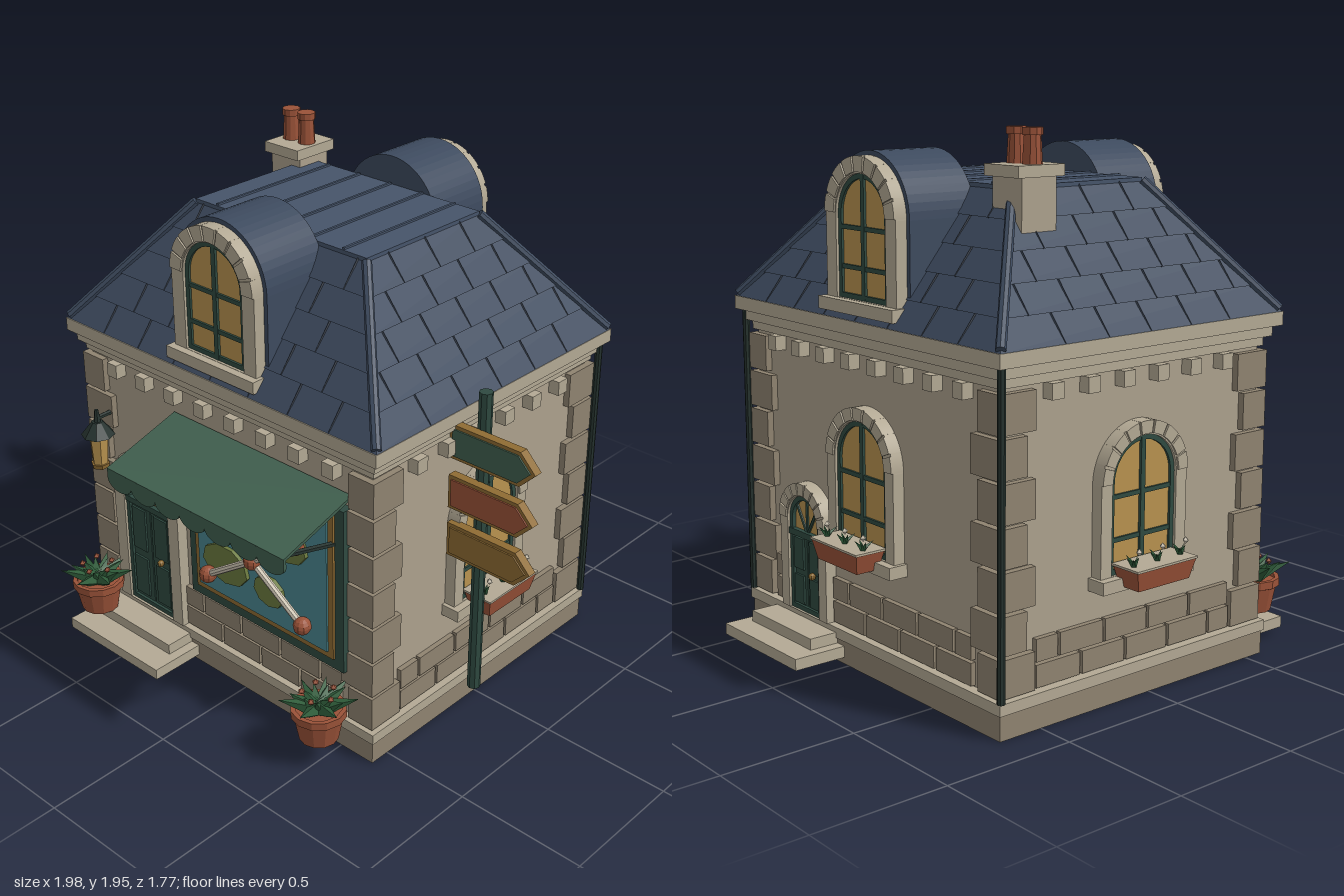
import * as THREE from 'three';

const V = (x, y, z) => new THREE.Vector3(x, y, z);
const mats = {};
const mat = c => (mats[c] ??= new THREE.MeshStandardMaterial({ color: c, flatShading: true, side: THREE.DoubleSide }));
const C = { wall: 0xaca18d, trim: 0xb3a994, stone: 0x8f8370, roof: 0x3d4a5e, roofTop: 0x46546a, seam: 0x262f3c, green: 0x2f4a41,
  awning: 0x41604f, dark: 0x26332f, glass: 0xb8924f, ochre: 0x8f6c33, teal: 0x4a8790, red: 0x9a5238, leaf: 0x2f5c3a, olive: 0x6b7a3f, white: 0xcfc6b4 };
const HX = 0.72, HZ = 0.595; // wall half sizes

function add(parent, name, geo, color, x = 0, y = 0, z = 0) {
  const m = new THREE.Mesh(geo, mat(color));
  m.name = name;
  m.position.set(x, y, z);
  parent.add(m);
  return m;
}
function group(parent, name, x = 0, y = 0, z = 0, ry = 0) {
  const g = new THREE.Group();
  g.name = name;
  g.position.set(x, y, z);
  g.rotation.y = ry;
  parent.add(g);
  return g;
}
// box given by its limits
const block = (p, name, c, x0, x1, y0, y1, z0, z1) =>
  add(p, name, new THREE.BoxGeometry(x1 - x0, y1 - y0, z1 - z0), c, (x0 + x1) / 2, (y0 + y1) / 2, (z0 + z1) / 2);
const slab = (p, name, c, hx, hz, y0, y1) => block(p, name, c, -hx, hx, y0, y1, -hz, hz);
const cyl = (p, name, c, r1, r0, y0, y1, x, z, n = 10) =>
  add(p, name, new THREE.CylinderGeometry(r1, r0, y1 - y0, n), c, x, (y0 + y1) / 2, z);
// round rod between two points
function rod(p, name, c, a, b, r, n = 6) {
  const m = add(p, name, new THREE.CylinderGeometry(r, r, a.distanceTo(b), n), c);
  m.position.copy(a).add(b).multiplyScalar(0.5);
  m.quaternion.setFromUnitVectors(V(0, 1, 0), b.clone().sub(a).normalize());
  return m;
}
// box tapered to a different top size
function frustum(hx0, hz0, hx1, hz1, h) {
  const g = new THREE.BoxGeometry(2, h, 2), p = g.attributes.position;
  for (let i = 0; i < p.count; i++) {
    const top = p.getY(i) > 0;
    p.setX(i, p.getX(i) * (top ? hx1 : hx0));
    p.setZ(i, p.getZ(i) * (top ? hz1 : hz0));
  }
  g.computeVertexNormals();
  return g;
}
const extrude = (s, depth) => new THREE.ExtrudeGeometry(s, { depth, bevelEnabled: false, curveSegments: 12 });
function arch(w, spring, base, type = THREE.Shape) {
  const s = new type();
  s.moveTo(-w, base);
  s.lineTo(w, base);
  s.lineTo(w, spring);
  s.absarc(0, spring, w, 0, Math.PI, false);
  s.closePath();
  return s;
}
function archRing(wo, wi, spring, base, lift = 0) {
  const s = arch(wo, spring, base);
  s.holes.push(arch(wi, spring, base + lift + 0.001, THREE.Path));
  return s;
}
// stone surround with voussoirs and a green inner frame, facing +z
function surround(g, wo, wi, spring, base) {
  add(g, 'surround', extrude(archRing(wo, wi, spring, base), 0.045), C.trim);
  const n = 9, step = Math.PI / n;
  for (let i = 0; i < n; i++) {
    const s = new THREE.Shape(), a = i * step + 0.025, b = (i + 1) * step - 0.025;
    s.absarc(0, spring, wo, a, b, false);
    s.absarc(0, spring, wi + 0.005, b, a, true);
    add(g, 'voussoir', extrude(s, 0.052), C.trim);
  }
  add(g, 'innerFrame', extrude(archRing(wi, wi - 0.018, spring, base, 0.018), 0.035), C.green);
}
function archWindow(g, wo, wi, spring, base) {
  surround(g, wo, wi, spring, base);
  add(g, 'glass', extrude(arch(wi, spring, base), 0.026), C.glass);
  block(g, 'mullion', C.green, -0.01, 0.01, base, spring + wi, 0.02, 0.036);
  for (const t of [0.38, 0.85]) {
    const y = base + (spring - base) * t;
    block(g, 'glazingBar', C.green, -wi, wi, y - 0.008, y + 0.008, 0.02, 0.034);
  }
  block(g, 'sill', C.trim, -wo - 0.015, wo + 0.015, base - 0.045, base, -0.01, 0.075);
}
function archDoor(g, wo, wi, spring, transom) {
  const base = 0.13, h = transom - base;
  surround(g, wo, wi, spring, base);
  add(g, 'fanlight', extrude(arch(wi, spring, transom), 0.02), C.glass);
  for (const a of [0.25, 0.5, 0.75])
    rod(g, 'fanlightBar', C.green, V(0, transom, 0.022), V(Math.cos(a * Math.PI) * wi, spring + Math.sin(a * Math.PI) * wi * 0.9, 0.022), 0.007);
  block(g, 'transom', C.green, -wi, wi, transom - 0.012, transom + 0.012, 0, 0.04);
  for (const s of [-1, 1]) {
    const leaf = group(g, 'doorLeaf', s * wi / 2);
    block(leaf, 'leafBoard', C.green, -wi / 2 + 0.003, wi / 2 - 0.003, base, transom, 0, 0.024);
    for (const [a, b] of [[0.08, 0.45], [0.53, 0.93]])
      block(leaf, 'doorPanel', C.green, -wi * 0.3, wi * 0.3, base + h * a, base + h * b, 0.02, 0.032);
  }
  add(g, 'knob', new THREE.SphereGeometry(0.014, 8, 6), C.ochre, wi * 0.55, base + h * 0.52, 0.043);
}
function doorSteps(g, w0, w1, d0, d1) {
  block(g, 'lowerStep', C.trim, -w0, w0, 0.025, 0.068, 0, d0);
  block(g, 'upperStep', C.trim, -w1, w1, 0.068, 0.11, 0, d1);
}
// ring of pointed leaves
function tuft(p, x, y, z, r, h, n) {
  const g = group(p, 'plant', x, y, z);
  for (let i = 0; i < n; i++) {
    const a = i * 2.4, k = 0.45 + 0.55 * ((i % 3) / 2);
    const leaf = add(g, 'leaf', new THREE.ConeGeometry(r * 0.28, Math.hypot(r * k, h), 4), C.leaf, Math.cos(a) * r * k / 2, h * 0.5, Math.sin(a) * r * k / 2);
    leaf.quaternion.setFromUnitVectors(V(0, 1, 0), V(Math.cos(a) * r * k, h * (1.3 - 0.6 * k), Math.sin(a) * r * k).normalize());
  }
  return g;
}
function flowerBox(g) {
  const box = add(g, 'planter', frustum(0.12, 0.045, 0.14, 0.06, 0.075), C.red, 0, 0.465, 0.1);
  box.rotation.y = 0;
  block(g, 'planterRim', C.trim, -0.142, 0.142, 0.498, 0.506, 0.035, 0.163);
  for (const x of [-0.11, 0, 0.11]) {
    tuft(g, x, 0.505, 0.11, 0.04, 0.035, 5);
    add(g, 'flower', new THREE.OctahedronGeometry(0.013), C.white, x + 0.015, 0.555, 0.12);
  }
}
function flowerPot(p, x, z) {
  const g = group(p, 'flowerPot', x, 0, z);
  const pts = [[0, 0.11], [0.072, 0.11], [0.09, 0.205], [0.102, 0.21], [0.102, 0.24], [0.085, 0.24], [0.085, 0.225], [0, 0.225]];
  add(g, 'pot', new THREE.LatheGeometry(pts.map(q => new THREE.Vector2(...q)), 12), C.red);
  tuft(g, 0, 0.22, 0, 0.14, 0.08, 16);
  for (let i = 0; i < 5; i++) add(g, 'bloom', new THREE.OctahedronGeometry(0.014), C.red, Math.cos(i * 1.26) * 0.06, 0.3, Math.sin(i * 1.26) * 0.06);
}

function buildRoof(house) {
  const g = group(house, 'roof'), y0 = 1.285, y1 = 1.745, n = 5;
  const hx = t => 0.78 - 0.36 * t, hz = t => 0.648 - 0.348 * t, yy = t => y0 + (y1 - y0) * t;
  for (let i = 0; i < n; i++) {
    const a = i / n, b = (i + 1) / n;
    add(g, 'slateCourse', frustum(hx(a) + 0.003, hz(a) + 0.003, hx(b) - 0.004, hz(b) - 0.004, (y1 - y0) / n), C.roof, 0, yy((a + b) / 2));
    for (const s of [-1, 1]) for (let k = -4; k <= 4; k++) {
      const u = k * 0.19 + (i % 2) * 0.095;
      if (Math.abs(u) < hx(b) - 0.02) rod(g, 'slateJoint', C.seam, V(u, yy(a), s * hz(a)), V(u, yy(b), s * (hz(b) - 0.003)), 0.004, 4);
      if (Math.abs(u) < hz(b) - 0.02) rod(g, 'slateJoint', C.seam, V(s * hx(a), yy(a), u), V(s * (hx(b) - 0.003), yy(b), u), 0.004, 4);
    }
  }
  for (const sx of [-1, 1]) for (const sz of [-1, 1])
    rod(g, 'hipRidge', C.roof, V(sx * 0.775, 1.295, sz * 0.643), V(sx * 0.42, 1.745, sz * 0.3), 0.018, 8);
  slab(g, 'roofDeck', C.roofTop, 0.42, 0.3, 1.74, 1.755);
  for (let i = -2; i <= 2; i++) block(g, 'deckSeam', C.roofTop, i * 0.155 - 0.005, i * 0.155 + 0.005, 1.75, 1.762, -0.295, 0.295);
  // dormers front and back
  for (const r of [0, Math.PI]) {
    const d = group(g, 'dormer', 0, 0, 0, r);
    add(d, 'dormerBarrel', extrude(arch(0.222, 1.642, 1.32), 0.275), C.roof, 0, 0, 0.3);
    archWindow(group(d, 'dormerWindow', 0, 0, 0.575), 0.205, 0.145, 1.642, 1.35);
  }
  // chimney
  const c = group(g, 'chimney', -0.45, 0, -0.272);
  slab(c, 'stack', C.wall, 0.075, 0.075, 1.4, 1.79);
  slab(c, 'chimneyCap', C.trim, 0.088, 0.1, 1.79, 1.83);
  for (const x of [-0.04, 0.04]) {
    cyl(c, 'chimneyPot', C.red, 0.028, 0.034, 1.83, 1.94, x, 0);
    cyl(c, 'chimneyPotRim', C.red, 0.035, 0.035, 1.925, 1.95, x, 0);
  }
}

function buildShopFront(g) {
  // picture window, facing +z on the wall
  const w = group(g, 'shopWindow', 0.128, 0, 0.545);
  block(w, 'shopFrame', C.green, -0.393, 0.393, 0.335, 1.0, 0, 0.045);
  block(w, 'shopBorder', C.ochre, -0.352, 0.352, 0.38, 0.98, 0.03, 0.055);
  block(w, 'displayPanel', C.teal, -0.328, 0.328, 0.405, 0.97, 0.04, 0.062);
  for (const [x, y, rx, ry] of [[-0.17, 0.558, 0.118, 0.08], [0.152, 0.78, 0.093, 0.07], [0.055, 0.542, 0.075, 0.062]]) {
    const l = add(w, 'leafDisc', new THREE.CylinderGeometry(1, 1, 0.015, 9), C.olive, x, y, 0.072);
    l.rotation.x = Math.PI / 2;
    l.scale.set(rx, 1, ry);
  }
  const hub = V(0, 0.66, 0.1);
  for (const e of [V(-0.24, 0.498, 0.1), V(0.215, 0.815, 0.1), V(0.245, 0.498, 0.1), hub]) {
    if (e !== hub) rod(w, 'displayRod', C.white, hub, e, 0.014, 8);
    add(w, 'displayBall', new THREE.SphereGeometry(0.034, 10, 8), C.red, e.x, e.y, e.z);
  }
  // awning with scalloped valance
  const a = group(g, 'awning', 0.083);
  const top = add(a, 'canopy', new THREE.BoxGeometry(0.885, 0.012, 0.343), C.awning, 0, 0.997, 0.715);
  top.rotation.x = Math.atan2(0.1, 0.33);
  const s = new THREE.Shape(), n = 7, r = 0.4425 / n;
  s.moveTo(-0.4425, 0.95);
  s.lineTo(-0.4425, 0.915);
  for (let i = 0; i < n; i++) s.absellipse(-0.4425 + r * (2 * i + 1), 0.915, r, 0.04, Math.PI, 2 * Math.PI, false);
  s.lineTo(0.4425, 0.95);
  add(a, 'valance', extrude(s, 0.012), C.awning, 0, 0, 0.868);
  for (const x of [-0.39, 0.39]) rod(a, 'awningArm', C.dark, V(x, 0.935, 0.875), V(x, 0.845, 0.55), 0.011);
}

function buildSignpost(g) {
  const p = group(g, 'signpost', 0.735, 0, 0.115);
  cyl(p, 'post', C.green, 0.025, 0.025, 0.13, 1.35, 0, 0, 8);
  const arrow = k => {
    const s = new THREE.Shape(), h = 0.066 - k;
    [[-0.105 + k, -h], [0.195 - k * 0.4, -h], [0.26 - k * 1.3, 0], [0.195 - k * 0.4, h], [-0.105 + k, h]].forEach(([x, y], i) => i ? s.lineTo(x, y) : s.moveTo(x, y));
    return s;
  };
  [[1.147, C.awning], [0.947, C.red], [0.753, C.ochre]].forEach(([y, c]) => {
    add(p, 'signBoard', extrude(arrow(0), 0.034), C.ochre, 0, y, 0.022);
    add(p, 'signFace', extrude(arrow(0.014), 0.01), c, 0, y, 0.052);
  });
}

export function createModel() {
  const root = new THREE.Group();
  root.name = 'shopHouse';
  const house = group(root, 'house', -0.105, 0, -0.048);
  // base, walls and cornice
  slab(house, 'plinth', C.stone, 0.755, 0.628, 0, 0.09);
  slab(house, 'plinthCap', C.trim, 0.763, 0.635, 0.09, 0.13);
  slab(house, 'walls', C.wall, HX, HZ, 0.12, 1.25);
  slab(house, 'frieze', C.trim, 0.735, 0.61, 1.16, 1.195);
  slab(house, 'corniceStep', C.trim, 0.757, 0.632, 1.195, 1.235);
  slab(house, 'cornice', C.trim, 0.785, 0.655, 1.235, 1.285);
  // corner stones and downpipes
  for (const sx of [-1, 1]) for (const sz of [-1, 1]) {
    for (let i = 0; i < 7; i++) {
      const wx = i % 2 ? 0.15 : 0.115, wz = i % 2 ? 0.115 : 0.15, y = 0.135 + i * 0.146;
      add(house, 'quoin', new THREE.BoxGeometry(wx, 0.134, wz), C.stone, sx * (0.745 - wx / 2), y + 0.067, sz * (0.62 - wz / 2));
    }
    if (sz < 0) cyl(house, 'downpipe', C.dark, 0.014, 0.014, 0.13, 1.235, sx * 0.757, sz * 0.625, 8);
  }
  // four walls: front, right, back, left
  const walls = [0, 1, 2, 3].map(i => group(house, ['frontWall', 'leftWall', 'backWall', 'rightWall'][i],
    [0, HX, 0, -HX][i], 0, [HZ, 0, -HZ, 0][i], i * Math.PI / 2));
  const spans = [[[-0.225, 0.59]], [[-0.46, 0.46]], [[-0.6, -0.535], [-0.215, 0.59]], [[-0.46, 0.46]]];
  walls.forEach((w, i) => {
    const n = i % 2 ? 3 : 4;
    for (let k = -n; k < n; k++) {
      const x = (k + 0.5) * 0.158;
      block(w, 'dentil', C.trim, x - 0.026, x + 0.026, 1.105, 1.16, 0, 0.045);
    }
    for (const [a, b] of spans[i]) for (let row = 0; row < 2; row++)
      for (let x = a - (row ? 0.1 : 0); x < b - 0.03; x += 0.205) {
        const x0 = Math.max(a, x), x1 = Math.min(b, x + 0.193);
        if (x1 - x0 > 0.02) block(w, 'baseStone', C.stone, x0, x1, 0.137 + row * 0.09, 0.217 + row * 0.09, 0, 0.02);
      }
    if (i) {
      const g = group(w, 'archedWindow');
      archWindow(g, 0.2, 0.15, 0.78, 0.46);
      flowerBox(g);
    }
  });
  // doors and steps
  const front = group(walls[0], 'frontDoor', -0.41);
  archDoor(front, 0.182, 0.125, 0.65, 0.59);
  doorSteps(front, 0.255, 0.215, 0.253, 0.15);
  const back = group(walls[2], 'backDoor', -0.375);
  archDoor(back, 0.15, 0.1, 0.48, 0.43);
  doorSteps(back, 0.243, 0.2, 0.242, 0.15);
  buildRoof(house);
  buildShopFront(root);
  buildSignpost(root);
  // wall lantern
  const l = group(root, 'lantern', -0.715, 0, 0.635);
  cyl(l, 'lampGlass', C.glass, 0.038, 0.03, 0.735, 0.86, 0, 0, 6);
  cyl(l, 'lampBase', C.ochre, 0.038, 0.034, 0.72, 0.738, 0, 0, 6);
  cyl(l, 'lampCap', C.dark, 0.022, 0.065, 0.86, 0.915, 0, 0, 8);
  cyl(l, 'lampFinial', C.dark, 0.008, 0.014, 0.915, 0.965, 0, 0, 6);
  rod(l, 'lampBracket', C.dark, V(0, 0.93, 0), V(0, 0.93, -0.09), 0.01);
  // potted plants
  flowerPot(root, -0.71, 0.695);
  flowerPot(root, 0.497, 0.695);
  return root;
}
